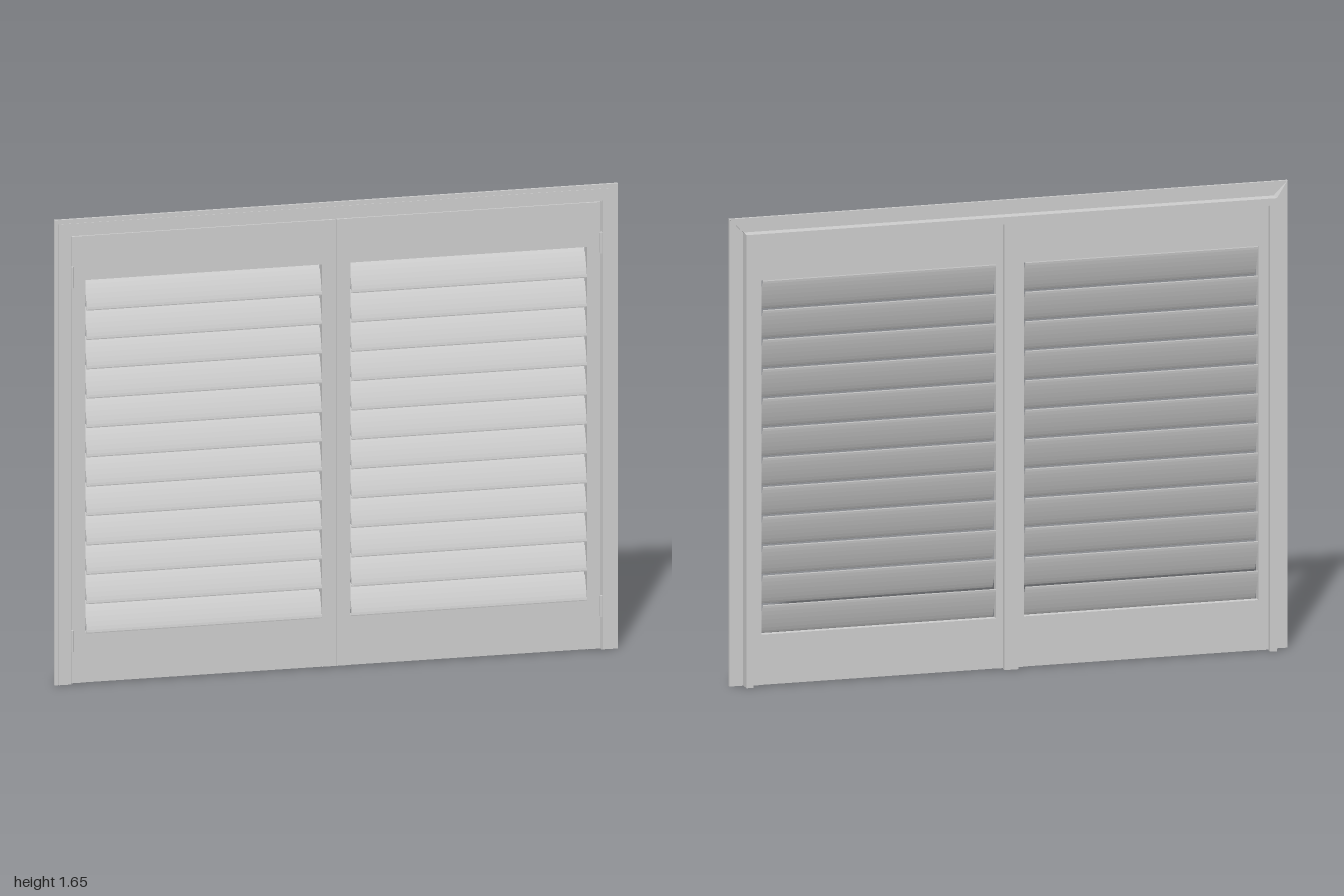
import * as THREE from 'three';

const grey = new THREE.MeshStandardMaterial({ color: 0xcccccc });
const greyThin = new THREE.MeshStandardMaterial({ color: 0xcccccc, side: THREE.DoubleSide });

function add(group, name, geometry, material = grey) {
  const mesh = new THREE.Mesh(geometry, material);
  mesh.name = name;
  group.add(mesh);
  return mesh;
}

function box(group, name, x0, x1, y0, y1, z0, z1) {
  const mesh = add(group, name, new THREE.BoxGeometry(x1 - x0, y1 - y0, z1 - z0));
  mesh.position.set((x0 + x1) / 2, (y0 + y1) / 2, (z0 + z1) / 2);
  return mesh;
}

// Three-sided frame, open at the floor; its top sits 0.65 above its half width
function arch(group, name, outer, inner, z0, z1) {
  const top = outer + 0.65, innerTop = inner + 0.65;
  const shape = new THREE.Shape([
    [-outer, 0], [-inner, 0], [-inner, innerTop], [inner, innerTop],
    [inner, 0], [outer, 0], [outer, top], [-outer, top],
  ].map(([x, y]) => new THREE.Vector2(x, y)));
  const geo = new THREE.ExtrudeGeometry(shape, { depth: z1 - z0, bevelEnabled: false });
  geo.translate(0, 0, z0);
  add(group, name, geo);
}

// Lens-shaped slat section, extruded along x
function louvreGeometry(length) {
  const shape = new THREE.Shape();
  shape.absellipse(0, 0, 0.0058, 0.058, 0, Math.PI * 2);
  const geo = new THREE.ExtrudeGeometry(shape, { depth: length, bevelEnabled: false, curveSegments: 10 });
  geo.translate(0, 0, -length / 2);
  geo.rotateY(Math.PI / 2);
  return geo;
}

function shutterPanel(side) {
  const panel = new THREE.Group();
  panel.name = side > 0 ? 'leftPanel' : 'rightPanel';
  const part = (name, x0, x1, y0, y1, z0, z1) =>
    box(panel, name, Math.min(side * x0, side * x1), Math.max(side * x0, side * x1), y0, y1, z0, z1);

  // Stiles and rails
  part('outerStile', 0.89, 0.937, 0.003, 1.587, -0.012, 0.017);
  part('innerStile', 0.001, 0.05, 0.003, 1.587, -0.012, 0.017);
  part('topRail', 0.05, 0.89, 1.43, 1.587, -0.010, 0.015);
  part('bottomRail', 0.05, 0.89, 0.003, 0.18, -0.010, 0.015);

  // Twelve nearly closed louvres, lower edges forward
  const geo = louvreGeometry(0.834);
  const count = 12, pitch = (1.43 - 0.18) / count;
  for (let i = 0; i < count; i++) {
    const louvre = add(panel, 'louvre', geo);
    louvre.position.set(side * 0.47, 0.18 + pitch * (i + 0.5), 0.004);
    louvre.rotation.x = -0.37;
  }

  // Hinges on the outer edge
  for (const y of [0.155, 1.445]) {
    const pin = add(panel, 'hingePin', new THREE.CylinderGeometry(0.005, 0.005, 0.075, 12));
    pin.position.set(side * 0.938, y, 0.025);
    part('hingeLeaf', 0.932, 0.944, y - 0.035, y + 0.035, 0.015, 0.022);
  }
  return panel;
}

export function createModel() {
  const model = new THREE.Group();
  model.name = 'louvredShutters';

  // Surrounding L-section frame
  const frame = new THREE.Group();
  frame.name = 'frame';
  arch(frame, 'frameFlange', 1, 0.94, 0.009, 0.019);
  arch(frame, 'frameBead', 0.985, 0.943, 0.019, 0.021);
  arch(frame, 'frameLeg', 0.95, 0.94, -0.032, 0.009);
  arch(frame, 'frameStop', 0.94, 0.925, -0.032, -0.014);

  // Triangular mitre webs behind the top corners
  for (const s of [-1, 1]) {
    const web = new THREE.BufferGeometry();
    web.setAttribute('position', new THREE.Float32BufferAttribute([
      s * 0.95, 1.6, -0.032, s * 0.95, 1.6, 0.009, s, 1.65, 0.009], 3));
    web.computeVertexNormals();
    add(frame, 'mitreWeb', web, greyThin);
  }
  model.add(frame);

  // Pair of shutters and the post behind their meeting stiles
  model.add(shutterPanel(1), shutterPanel(-1));
  box(model, 'centrePost', -0.025, 0.025, 0, 1.59, -0.03, -0.012);
  return model;
}
